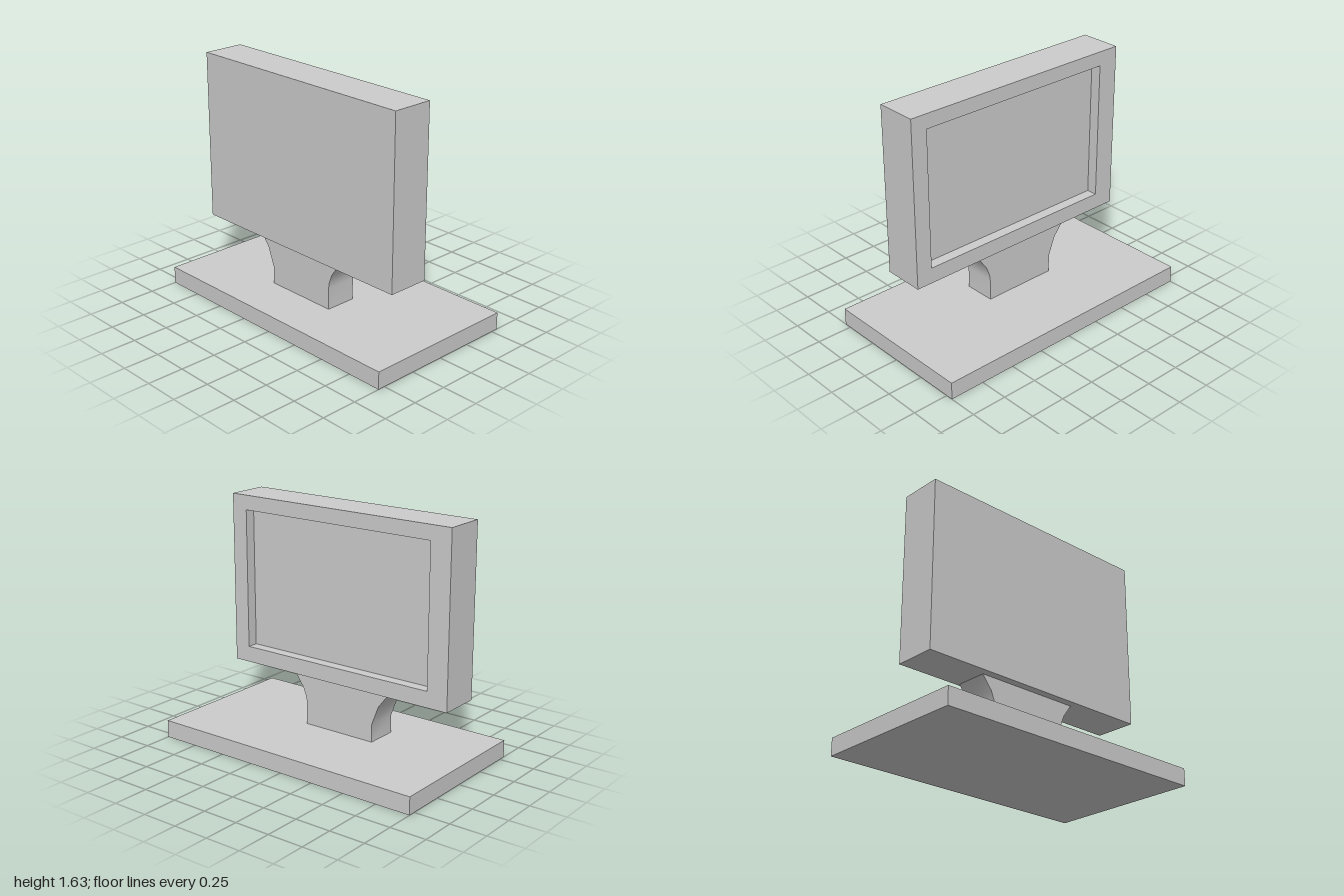
import * as THREE from 'three';
import { toCreasedNormals } from 'three/addons/utils/BufferGeometryUtils.js';

const material = new THREE.MeshStandardMaterial({ color: 0xcccccc });

function part(name, geometry) {
  const mesh = new THREE.Mesh(geometry, material);
  mesh.name = name;
  return mesh;
}

// Rectangle as a loop of four corners, counter-clockwise seen from the front
const loop = (x0, x1, y0, y1, z) => [[x0, y0, z], [x1, y0, z], [x1, y1, z], [x0, y1, z]];

// Joins successive loops with flat quads and caps the first and last
function loft(loops) {
  const pos = [];
  const quad = (a, b, c, d) => pos.push(...a, ...b, ...c, ...a, ...c, ...d);
  quad(...loops[0]);
  for (let i = 0; i + 1 < loops.length; i++) {
    const a = loops[i], b = loops[i + 1];
    for (let k = 0; k < 4; k++) {
      const n = (k + 1) % 4;
      quad(a[k], b[k], b[n], a[n]);
    }
  }
  quad(...[...loops[loops.length - 1]].reverse());
  const geometry = new THREE.BufferGeometry();
  geometry.setAttribute('position', new THREE.Float32BufferAttribute(pos, 3));
  geometry.computeVertexNormals();
  return geometry;
}

export function createModel() {
  const model = new THREE.Group();
  model.name = 'monitor';

  // Flat base slab
  const base = part('base', new THREE.BoxGeometry(2, 0.12, 1.1));
  base.position.y = 0.06;
  model.add(base);

  // Neck flaring out towards the screen
  const profile = [
    [-0.33, 0.12], [0.21, 0.12], [0.21, 0.27], [0.215, 0.31], [0.24, 0.375], [0.305, 0.465],
    [-0.45, 0.465], [-0.38, 0.375], [-0.33, 0.245],
  ].map(([x, y]) => new THREE.Vector2(x, y));
  const neckGeometry = new THREE.ExtrudeGeometry(new THREE.Shape(profile), { depth: 0.22, bevelEnabled: false });
  const neck = part('neck', toCreasedNormals(neckGeometry, 0.6));
  neck.position.z = -0.01;
  model.add(neck);

  // Screen housing: plain front, recessed panel inside a rim at the back
  model.add(part('screenHousing', loft([
    loop(-0.91, 0.825, 0.465, 1.635, 0.265),
    loop(-0.91, 0.825, 0.465, 1.635, -0.025),
    loop(-0.76, 0.71, 0.575, 1.535, -0.025),
    loop(-0.76, 0.71, 0.575, 1.535, 0.05),
  ])));

  return model;
}
